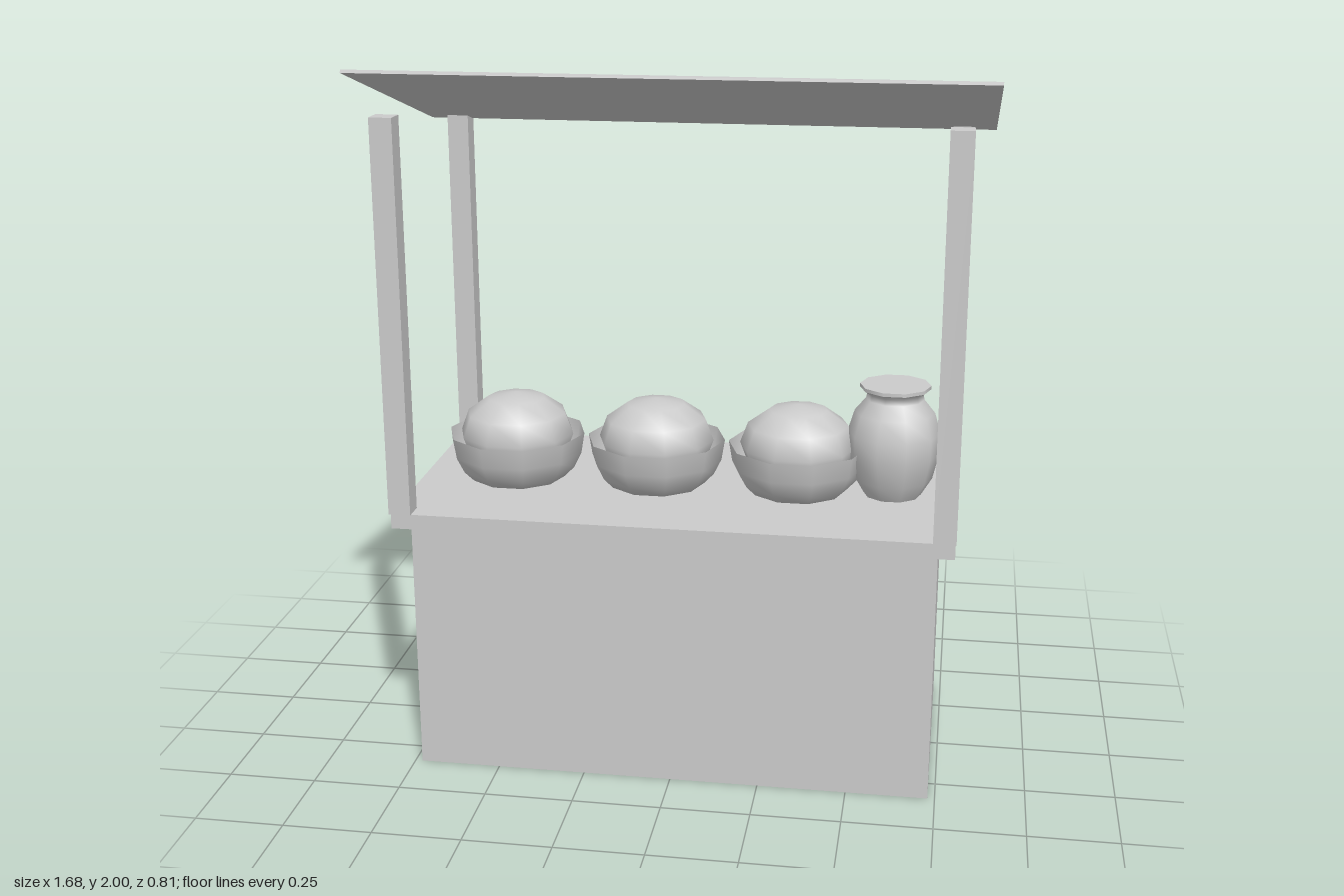
import * as THREE from 'three';

const grey = new THREE.MeshStandardMaterial({ color: 0xcccccc });
const greyDouble = new THREE.MeshStandardMaterial({ color: 0xcccccc, side: THREE.DoubleSide });
const Z = -0.011;      // centre line of the counter
const SIDES = 10;      // sides of all round wares
const COUNTER_Y = 0.777;

function add(parent, name, geometry, x, y, z, material = grey) {
  const mesh = new THREE.Mesh(geometry, material);
  mesh.name = name;
  mesh.position.set(x, y, z);
  parent.add(mesh);
  return mesh;
}

// Round ware from [radius, height] pairs, with corners on the x axis
function lathe(profile) {
  const points = profile.map(([r, y]) => new THREE.Vector2(r, y));
  return new THREE.LatheGeometry(points, SIDES).rotateY(Math.PI / 2);
}

// Box without its underside
function openBox(w, h, d) {
  const box = new THREE.BoxGeometry(w, h, d);
  const index = Array.from(box.index.array);
  index.splice(18, 6);
  box.setIndex(index);
  box.clearGroups();
  return box;
}

function createBowl(x) {
  const bowl = new THREE.Group();
  bowl.name = 'filledBowl';
  bowl.position.set(x, COUNTER_Y, Z);
  add(bowl, 'bowl', lathe([[0, 0.001], [0.14, 0.001], [0.168, 0.03], [0.19, 0.075], [0.2, 0.135]]), 0, 0, 0, greyDouble);
  // Heaped goods: a flattened ball resting in the bowl
  const heap = new THREE.SphereGeometry(0.167, SIDES, 6);
  heap.scale(1, 0.72, 1);
  add(bowl, 'heap', heap, 0, 0.133, 0);
  return bowl;
}

function createJar(x) {
  const jar = new THREE.Group();
  jar.name = 'jar';
  jar.position.set(x, COUNTER_Y, Z);
  add(jar, 'jarBody', lathe([
    [0.082, 0], [0.112, 0.05], [0.13, 0.125], [0.131, 0.185],
    [0.113, 0.245], [0.082, 0.283], [0.078, 0.3], [0.1, 0.314],
  ]), 0, 0, 0, greyDouble);
  const lid = new THREE.CylinderGeometry(0.1, 0.1, 0.01, SIDES).rotateY(Math.PI / 2);
  add(jar, 'jarLid', lid, 0, 0.319, 0);
  return jar;
}

export function createModel() {
  const stall = new THREE.Group();
  stall.name = 'marketStall';

  // Hollow base and counter top
  add(stall, 'base', openBox(1.46, 0.735, 0.695), 0, 0.3675, Z, greyDouble);
  add(stall, 'counterTop', new THREE.BoxGeometry(1.552, 0.043, 0.766), 0, 0.7555, Z);

  // Four corner posts
  for (const sx of [-1, 1]) {
    for (const sz of [-1, 1]) {
      add(stall, sz > 0 ? 'frontPost' : 'backPost',
        new THREE.BoxGeometry(0.062, 1.095, 0.062), sx * 0.747, 1.3275, Z + sz * 0.365);
    }
  }

  // Thin awning sloping down to the back
  const rise = 0.227, run = 0.806;
  const awning = add(stall, 'awning',
    new THREE.BoxGeometry(1.68, 0.009, Math.hypot(rise, run)), 0, 1.881, 0.001);
  awning.rotation.x = -Math.atan2(rise, run);

  // Wares
  for (const x of [-0.506, -0.093, 0.318]) stall.add(createBowl(x));
  stall.add(createJar(0.59));

  return stall;
}
